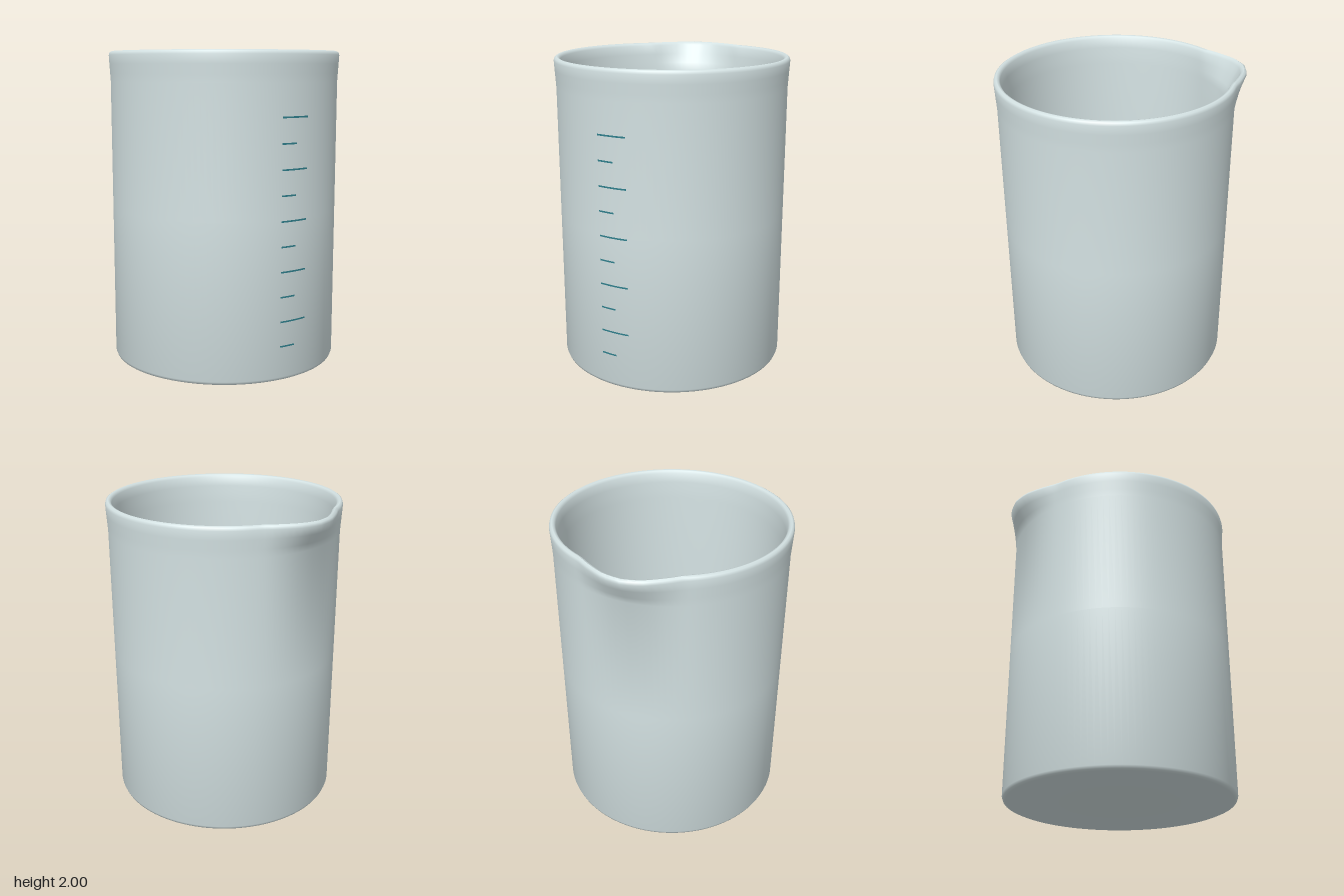
import * as THREE from 'three';
import { mergeVertices, toCreasedNormals } from 'three/addons/utils/BufferGeometryUtils.js';

const R = 0.735;
const CENTRE_Z = 0.04;

// extra rim radius by angle from the spout: small flare all round, a peaked lip at the back
function rimOffset(deg) {
  const keys = [[0, 0.08], [8, 0.066], [16, 0.032], [25, 0], [180, 0]];
  for (let i = 1; i < keys.length; i++) {
    const [a0, o0] = keys[i - 1], [a1, o1] = keys[i];
    if (deg <= a1) return 0.01 + o0 + (o1 - o0) * (deg - a0) / (a1 - a0);
  }
  return 0.01;
}

// glass wall and base as one closed turned profile, then pulled out at the rim
function glassGeometry() {
  const v = (x, y) => new THREE.Vector2(x, y);
  const profile = [
    v(0, 0), v(0.712, 0), v(0.728, 0.007), v(R, 0.025), v(R, 1), v(R, 1.81),
    v(R, 1.86), v(R, 1.92), v(R, 1.975), v(0.73, 1.992), v(0.717, 2), v(0.703, 1.995),
    v(0.693, 1.98), v(0.69, 1.92), v(0.69, 1.86), v(0.69, 1.81), v(0.69, 1), v(0.69, 0.05), v(0, 0.05),
  ];
  let geo = new THREE.LatheGeometry(profile, 120);
  const p = geo.attributes.position;
  for (let i = 0; i < p.count; i++) {
    const x = p.getX(i), y = p.getY(i), z = p.getZ(i);
    const t = THREE.MathUtils.clamp((y - 1.81) / 0.165, 0, 1);
    if (t === 0) continue;
    const r = Math.hypot(x, z);
    const k = 1 + t * rimOffset(THREE.MathUtils.radToDeg(Math.atan2(Math.abs(x), -z))) / r;
    p.setXYZ(i, x * k, y, z * k);
  }
  geo.deleteAttribute('uv');
  geo.deleteAttribute('normal');
  geo = mergeVertices(geo, 1e-5);
  return toCreasedNormals(geo, 0.9);
}

export function createModel() {
  const group = new THREE.Group();
  const glass = new THREE.MeshStandardMaterial({ color: 0xd4e2e3 });
  const teal = new THREE.MeshStandardMaterial({ color: 0x3fb0c4, side: THREE.DoubleSide });
  const ink = new THREE.MeshStandardMaterial({ color: 0x2f7f8c, side: THREE.DoubleSide });

  const add = (name, geo, mat, parent = group) => {
    const mesh = new THREE.Mesh(geo, mat);
    mesh.name = name;
    parent.add(mesh);
    return mesh;
  };

  add('beakerBody', glassGeometry(), glass);

  // coloured lining on the floor and lower inner wall
  const lining = [[0.684, 1.0], [0.684, 0.06], [0, 0.06]].map(([x, y]) => new THREE.Vector2(x, y));
  add('liquidLining', new THREE.LatheGeometry(lining, 96), teal);

  // graduation lines wrapped on the front wall, long and short in turn
  const marks = new THREE.Group();
  marks.name = 'graduationMarks';
  group.add(marks);
  const markR = R + 0.002;
  for (let i = 0; i < 10; i++) {
    const long = i % 2 === 1;
    const a0 = Math.asin(-0.27 / markR);
    const a1 = Math.asin((long ? -0.085 : -0.17) / markR);
    const strip = new THREE.CylinderGeometry(markR, markR, 0.01, 8, 1, true, a0, a1 - a0);
    add(long ? 'longMark' : 'shortMark', strip, ink, marks).position.y = 0.22 + i * 0.1545;
  }

  group.children.forEach((c) => { c.position.z = CENTRE_Z; });
  return group;
}
